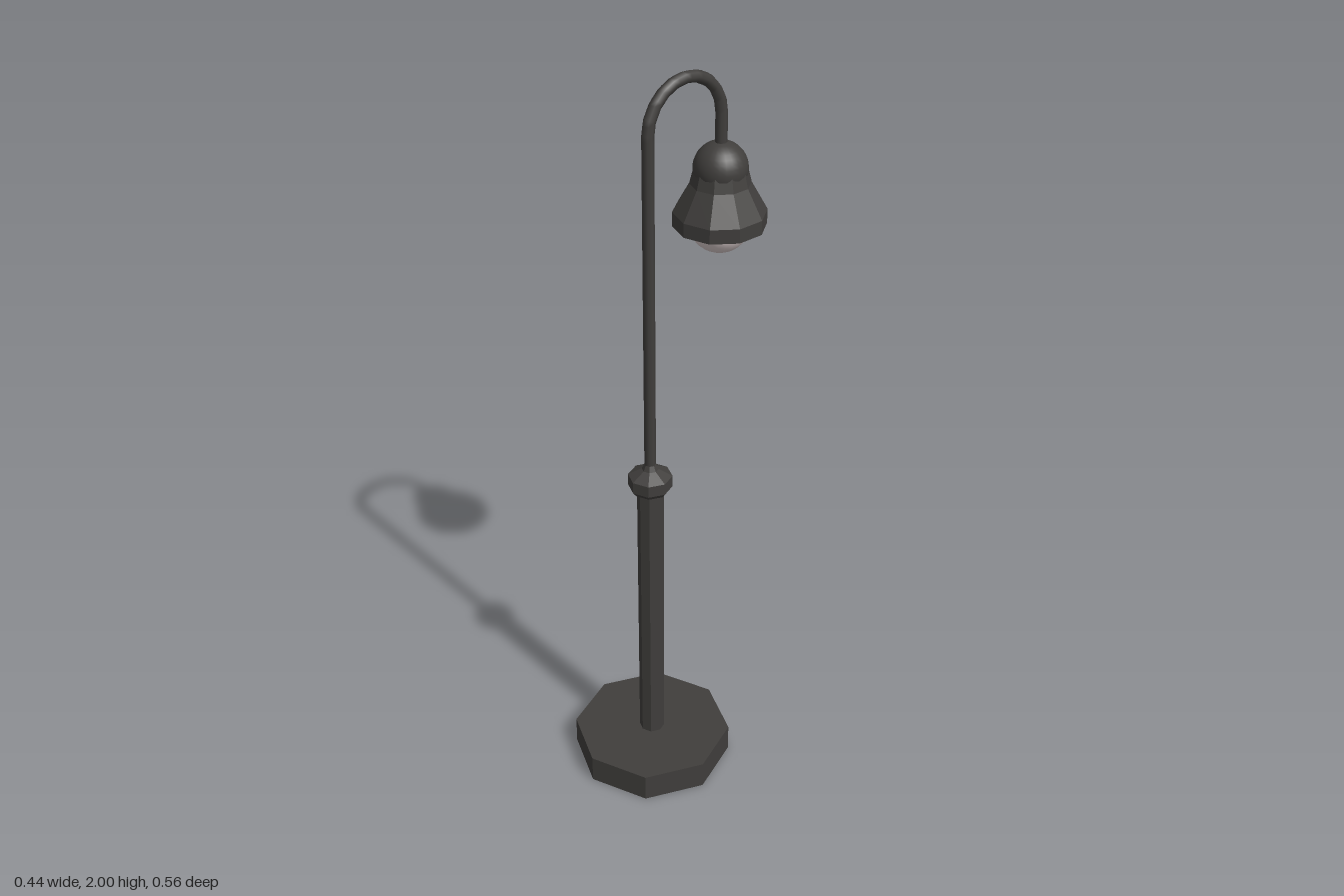
import * as THREE from 'three';

const metal = new THREE.MeshStandardMaterial({ color: 0x403e3c, side: THREE.DoubleSide });
const metalFlat = metal.clone();
metalFlat.flatShading = true;
const glass = new THREE.MeshStandardMaterial({ color: 0xd8caca });

const POST_Z = 0.06, LAMP_Z = -0.167;

function add(group, name, geometry, material, z) {
  const mesh = new THREE.Mesh(geometry, material);
  mesh.name = name;
  mesh.position.z = z;
  group.add(mesh);
}

// faceted turned part from [radius, height] pairs
function turned(points, sides) {
  return new THREE.LatheGeometry(points.map(([r, y]) => new THREE.Vector2(r, y)), sides);
}

export function createModel() {
  const lamp = new THREE.Group();
  lamp.name = 'streetLamp';

  // octagonal foot, hollow underneath, with an opening below the post
  add(lamp, 'base', turned([[0.22, 0], [0.22, 0.08], [0.035, 0.08]], 8), metalFlat, POST_Z);

  // thick lower post and its collar
  add(lamp, 'lowerPost', turned([[0.035, 0.08], [0.035, 0.91]], 8), metalFlat, POST_Z);
  add(lamp, 'collar', turned([
    [0.035, 0.9], [0.048, 0.9], [0.058, 0.913], [0.058, 0.945], [0.022, 0.965], [0.015, 0.98],
  ], 8), metalFlat, POST_Z);

  // thin upper post bending over into the hook that carries the lamp
  const mid = (POST_Z + LAMP_Z) / 2, r = (POST_Z - LAMP_Z) / 2, spring = 1.985 - r;
  const path = new THREE.CurvePath();
  const v = (y, z) => new THREE.Vector3(0, y, z);
  const bend = [];
  for (let i = 0; i <= 10; i++) {
    const a = (i / 10) * Math.PI;
    bend.push(v(spring + r * Math.sin(a), mid + r * Math.cos(a)));
  }
  const stops = [v(0.95, POST_Z), ...bend, v(1.78, LAMP_Z)];
  for (let i = 1; i < stops.length; i++) path.add(new THREE.LineCurve3(stops[i - 1], stops[i]));
  add(lamp, 'upperPost', new THREE.TubeGeometry(path, 120, 0.015, 8), metal, 0);

  // rounded cap, ten-sided shade and bulb
  const cap = new THREE.SphereGeometry(0.068, 24, 10, 0, Math.PI * 2, 0, Math.PI * 0.6);
  cap.translate(0, 1.733, 0);
  add(lamp, 'shadeCap', cap, metal, LAMP_Z);
  add(lamp, 'shade', turned([
    [0.117, 1.585], [0.117, 1.622], [0.076, 1.695], [0.066, 1.735],
  ], 10), metalFlat, LAMP_Z);
  const bulb = new THREE.SphereGeometry(0.079, 24, 16);
  bulb.translate(0, 1.595, 0);
  add(lamp, 'bulb', bulb, glass, LAMP_Z);

  return lamp;
}
